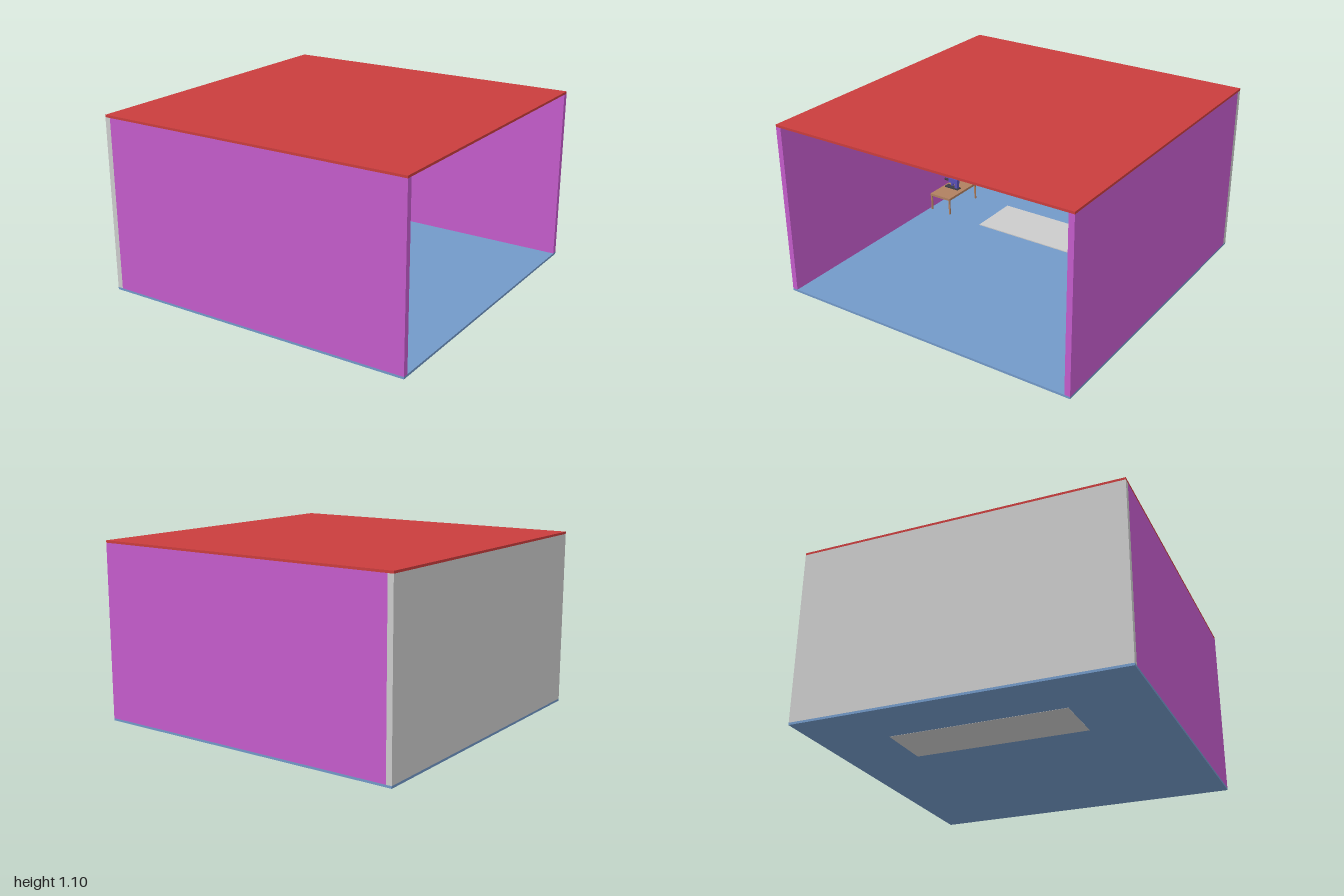
import * as THREE from 'three';

const paint = (color) => new THREE.MeshStandardMaterial({ color });
const GREY = paint(0xcccccc), RED = paint(0xc93d3d), PURPLE = paint(0xc45ccb), BLUE = paint(0x7299c8);
const WOOD = paint(0xb08060), INDIGO = paint(0x5a50b8), DARK = paint(0x3c3c46);

// Box given by its lower and upper limits on each axis
function box(parent, name, mat, [x0, x1], [y0, y1], [z0, z1]) {
  const m = new THREE.Mesh(new THREE.BoxGeometry(x1 - x0, y1 - y0, z1 - z0), mat);
  m.name = name;
  m.position.set((x0 + x1) / 2, (y0 + y1) / 2, (z0 + z1) / 2);
  parent.add(m);
  return m;
}

// Table with a thin top and four legs
function createTable() {
  const g = new THREE.Group();
  g.name = 'table';
  box(g, 'tableTop', WOOD, [-0.16, 0.16], [0.121, 0.137], [-0.082, 0.082]);
  for (const sx of [-1, 1]) for (const sz of [-1, 1]) {
    const x = sx * 0.152, z = sz * 0.076;
    box(g, 'tableLeg', WOOD, [x - 0.005, x + 0.005], [0.015, 0.121], [z - 0.005, z + 0.005]);
  }
  return g;
}

// Small machine on the table: base, column and a horizontal head with a barrel
function createDevice() {
  const g = new THREE.Group();
  g.name = 'device';
  box(g, 'deviceBase', DARK, [-0.02, 0.02], [0.137, 0.145], [-0.05, 0.06]);
  box(g, 'deviceColumn', INDIGO, [-0.012, 0.012], [0.145, 0.195], [-0.042, -0.02]);
  box(g, 'deviceHead', INDIGO, [-0.014, 0.014], [0.178, 0.21], [-0.045, 0.03]);
  box(g, 'deviceGrip', INDIGO, [-0.008, 0.008], [0.155, 0.18], [0, 0.014]);
  const barrel = new THREE.Mesh(new THREE.CylinderGeometry(0.008, 0.008, 0.05, 16), DARK);
  barrel.name = 'deviceBarrel';
  barrel.rotation.x = Math.PI / 2;
  barrel.position.set(0, 0.19, 0.045);
  g.add(barrel);
  return g;
}

export function createModel() {
  const room = new THREE.Group();
  room.name = 'room';
  const D = 0.985, T = 0.035;

  // Shell, open on the +x side
  box(room, 'floor', BLUE, [-1, 1], [0.001, 0.015], [-D, D]);
  box(room, 'roof', RED, [-1, 1], [1.081, 1.095], [-D, D]);
  box(room, 'sideWall', GREY, [-1, -1 + T], [0.015, 1.081], [-D, D]);
  box(room, 'frontWall', PURPLE, [-1 + T, 1], [0.015, 1.081], [D - T, D]);
  box(room, 'backWall', PURPLE, [-1 + T, 1], [0.015, 1.081], [-D, -D + T]);

  // Long mat set into the floor
  box(room, 'floorMat', GREY, [-0.64, -0.3], [0, 0.021], [-0.56, 0.51]);

  // Furniture by the front wall
  const table = createTable();
  table.position.set(-0.47, 0, 0.852);
  const device = createDevice();
  device.position.set(-0.47, 0, 0.855);
  room.add(table, device);
  return room;
}
